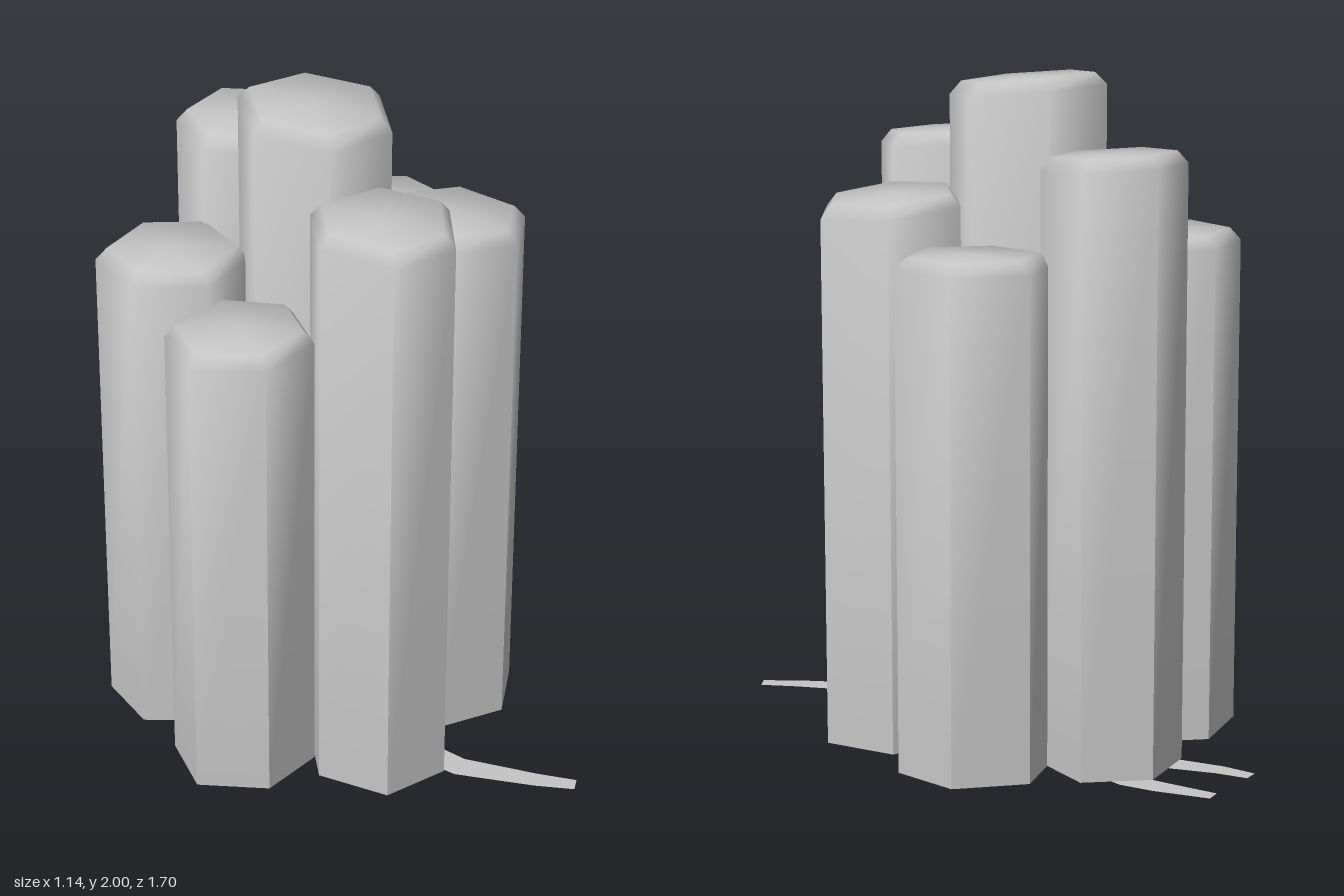
import * as THREE from 'three';

const stone = new THREE.MeshStandardMaterial({ color: 0xc5c5c5, side: THREE.DoubleSide });
stone.name = 'grey stone';

// Hexagonal columns: corners [x, z] clockwise from above, top height, top slope along x and z
const COLUMNS = [
  { name: 'centreColumn', h: 1.982, sx: -0.03, sz: -0.09,
    c: [[-0.148, -0.207], [0.083, -0.23], [0.236, -0.055], [0.146, 0.16], [-0.089, 0.206], [-0.23, 0.024]] },
  { name: 'frontColumn', h: 1.787, sx: 0, sz: -0.07,
    c: [[-0.153, 0.21], [0.082, 0.192], [0.21, 0.363], [0.1, 0.57], [-0.113, 0.59], [-0.235, 0.398]] },
  { name: 'backColumn', h: 1.802, sx: 0, sz: -0.07,
    c: [[0.02, -0.635], [0.201, -0.525], [0.181, -0.312], [0, -0.22], [-0.2, -0.326], [-0.17, -0.543]] },
  { name: 'frontLeftColumn', h: 1.645, sx: -0.09, sz: -0.02,
    c: [[0.238, -0.013], [0.481, 0.009], [0.571, 0.217], [0.431, 0.385], [0.205, 0.367], [0.119, 0.172]] },
  { name: 'frontRightColumn', h: 1.445, sx: 0.03, sz: 0,
    c: [[-0.533, 0.04], [-0.316, -0.04], [-0.153, 0.109], [-0.198, 0.309], [-0.397, 0.381], [-0.573, 0.254]] },
  { name: 'backLeftColumn', h: 1.523, sx: 0, sz: -0.01,
    c: [[0.322, -0.443], [0.526, -0.339], [0.562, -0.131], [0.382, -0.007], [0.192, -0.122], [0.16, -0.335]] },
  { name: 'backRightColumn', h: 1.527, sx: 0.01, sz: 0,
    c: [[-0.348, -0.462], [-0.163, -0.356], [-0.163, -0.126], [-0.36, -0.012], [-0.55, -0.131], [-0.55, -0.348]] },
];

// Flat strips on the ground: [x, z, half width] from the cluster to the tip
const STRIPS = [
  { name: 'backRightStrip', p: [[-0.08, -0.48, 0.045], [-0.12, -0.57, 0.042], [-0.19, -0.69, 0.033], [-0.226, -0.785, 0.024]] },
  { name: 'backLeftStrip', p: [[0.08, -0.5, 0.046], [0.078, -0.6, 0.045], [0.045, -0.69, 0.04], [-0.027, -0.845, 0.024]] },
  { name: 'frontLeftStrip', p: [[0.115, 0.48, 0.045], [0.153, 0.575, 0.043], [0.314, 0.75, 0.031], [0.4, 0.83, 0.024]] },
];

function buildGeometry(positions, index) {
  const g = new THREE.BufferGeometry();
  g.setAttribute('position', new THREE.Float32BufferAttribute(positions, 3));
  g.setIndex(index);
  return g;
}

// Face normals at ground level; elsewhere the equal average of all faces at a corner
function softenTop(positions, index) {
  const g = buildGeometry(positions, index).toNonIndexed();
  g.computeVertexNormals();
  const pos = g.attributes.position, nor = g.attributes.normal;
  const sums = Array.from({ length: positions.length / 3 }, () => new THREE.Vector3());
  const v = new THREE.Vector3();
  index.forEach((id, k) => sums[id].add(v.fromBufferAttribute(nor, k)));
  index.forEach((id, k) => {
    if (pos.getY(k) === 0) return;
    v.copy(sums[id]).normalize();
    nor.setXYZ(k, v.x, v.y, v.z);
  });
  return g;
}

// Prism with a tilted, bevelled top
function columnGeometry({ c, h, sx, sz }) {
  const n = c.length;
  const cx = c.reduce((s, p) => s + p[0], 0) / n;
  const cz = c.reduce((s, p) => s + p[1], 0) / n;
  const positions = [];
  const top = (x, z) => h + sx * (x - cx) + sz * (z - cz);
  for (const [x, z] of c) positions.push(x, 0, z);
  for (const [x, z] of c) positions.push(x, top(x, z) - 0.04, z);
  for (const [x, z] of c) {
    const rx = cx + (x - cx) * 0.85, rz = cz + (z - cz) * 0.85;
    positions.push(rx, top(rx, rz) - 0.003, rz);
  }
  positions.push(cx, h, cz, cx, 0, cz);

  const index = [];
  for (let i = 0; i < n; i++) {
    const j = (i + 1) % n;
    for (const r of [0, n]) {
      index.push(r + j, r + i, r + n + i, r + j, r + n + i, r + n + j);
    }
    index.push(3 * n, 2 * n + j, 2 * n + i, 3 * n + 1, i, j);
  }
  return softenTop(positions, index);
}

// Flat tapering strip with a line of points along its middle
function stripGeometry(p) {
  const positions = [], index = [];
  p.forEach(([x, z, w], i) => {
    const a = p[Math.max(i - 1, 0)], b = p[Math.min(i + 1, p.length - 1)];
    const dx = b[0] - a[0], dz = b[1] - a[1], len = Math.hypot(dx, dz);
    const ox = (-dz / len) * w, oz = (dx / len) * w;
    positions.push(x - ox, 0, z - oz, x, 0, z, x + ox, 0, z + oz);
    if (i === 0) return;
    for (const s of [0, 1]) {
      const q = (i - 1) * 3 + s;
      index.push(q, q + 3, q + 1, q + 1, q + 3, q + 4);
    }
  });
  const g = buildGeometry(positions, index);
  g.computeVertexNormals();
  return g;
}

export function createModel() {
  const model = new THREE.Group();
  model.name = 'columnCluster';
  const add = (name, geometry) => {
    const mesh = new THREE.Mesh(geometry, stone);
    mesh.name = name;
    model.add(mesh);
  };
  for (const column of COLUMNS) add(column.name, columnGeometry(column));
  for (const strip of STRIPS) add(strip.name, stripGeometry(strip.p));
  return model;
}
